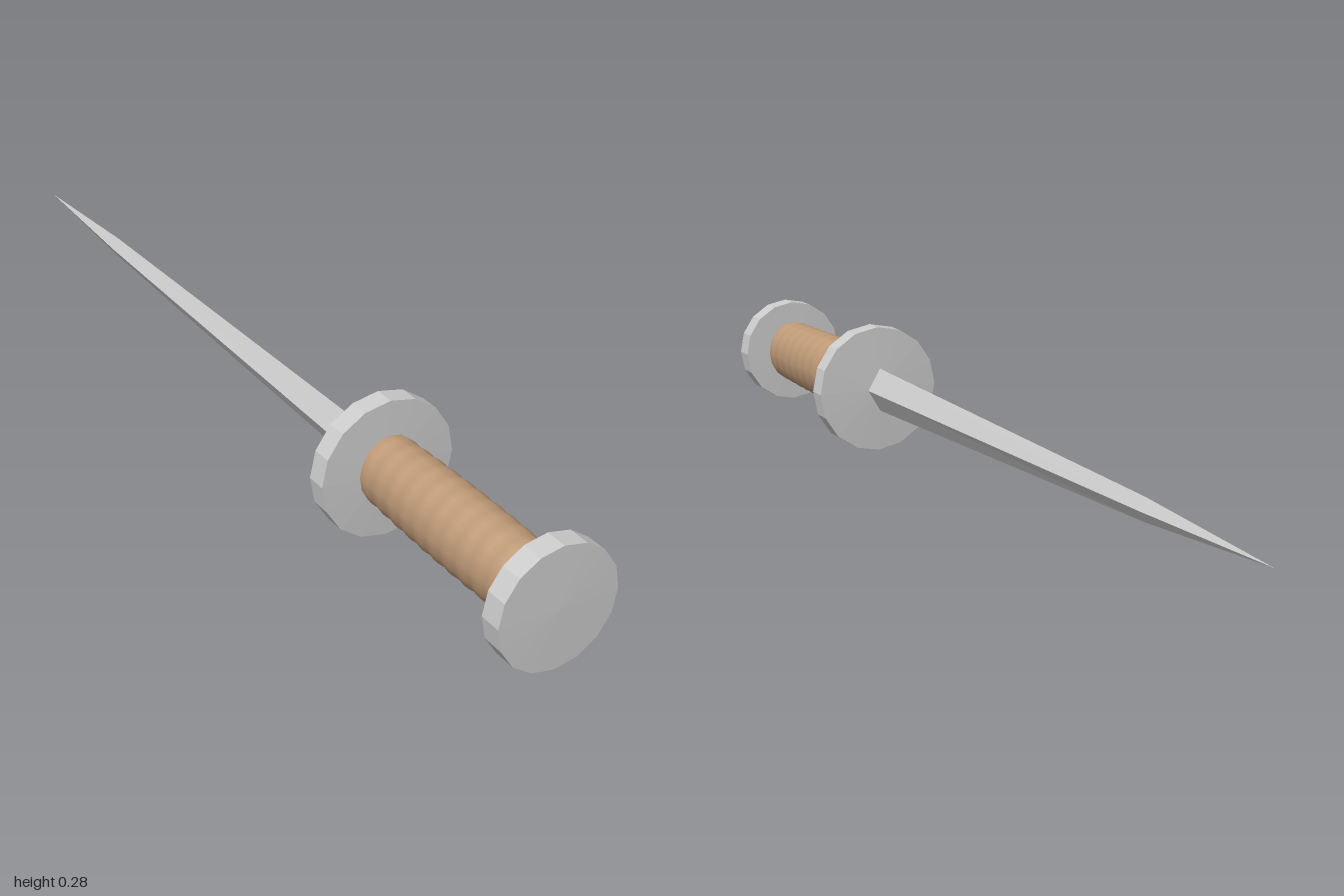
import * as THREE from 'three';

const SIDES = 16;
const AXIS_Y = 0.14;
const grey = new THREE.MeshStandardMaterial({ color: 0xcccccc, flatShading: true });
const brown = new THREE.MeshStandardMaterial({ color: 0xbf9a77 });

// Lathe turned around the z axis; points are [radius, z] from back to front
function turned(name, points, material) {
  const geometry = new THREE.LatheGeometry(points.map(([r, z]) => new THREE.Vector2(r, z)), SIDES);
  geometry.rotateX(Math.PI / 2);
  const mesh = new THREE.Mesh(geometry, material);
  mesh.name = name;
  return mesh;
}

// Disc with very shallow domed faces
function disc(name, radius, back, front, dome) {
  return turned(name, [[0, back - dome], [radius, back], [radius, front], [0, front + dome]], grey);
}

// Diamond cross-sections [z, halfWidth, halfHeight] joined from base to tip
function bladeGeometry(sections) {
  const positions = [];
  const index = [];
  for (const [z, w, h] of sections) {
    positions.push(w, 0, z, 0, h, z, -w, 0, z, 0, -h, z);
  }
  for (let s = 0; s < sections.length - 1; s++) {
    for (let i = 0; i < 4; i++) {
      const a = s * 4 + i;
      const b = s * 4 + (i + 1) % 4;
      index.push(a, a + 4, b, b, a + 4, b + 4);
    }
  }
  index.push(0, 1, 2, 0, 2, 3); // base cap
  const geometry = new THREE.BufferGeometry();
  geometry.setAttribute('position', new THREE.Float32BufferAttribute(positions, 3));
  geometry.setIndex(index);
  const flat = geometry.toNonIndexed();
  flat.computeVertexNormals();
  return flat;
}

export function createModel() {
  const dagger = new THREE.Group();
  dagger.name = 'dagger';

  const body = new THREE.Group();
  body.name = 'daggerBody';
  body.position.y = AXIS_Y;
  dagger.add(body);

  body.add(disc('pommel', 0.12, 0.953, 0.997, 0.003));
  body.add(disc('guard', 0.14, 0.455, 0.497, 0.006));

  // Oval grip, slightly swollen in the middle, with shallow wrapped ridges
  const ridges = 11;
  const steps = ridges * 4;
  const profile = [];
  for (let i = 0; i <= steps; i++) {
    const t = i / steps;
    const ridge = 0.0025 * Math.abs(Math.sin(t * ridges * Math.PI));
    profile.push([0.069 + 0.005 * Math.sin(t * Math.PI) + ridge, 0.49 + 0.47 * t]);
  }
  const grip = turned('grip', profile, brown);
  grip.scale.x = 0.88;
  body.add(grip);

  // Long tapering blade with a diamond section
  const blade = new THREE.Mesh(
    bladeGeometry([[0.445, 0.029, 0.048], [-0.63, 0.015, 0.023], [-1, 0, 0]]),
    grey
  );
  blade.name = 'blade';
  body.add(blade);

  return dagger;
}
